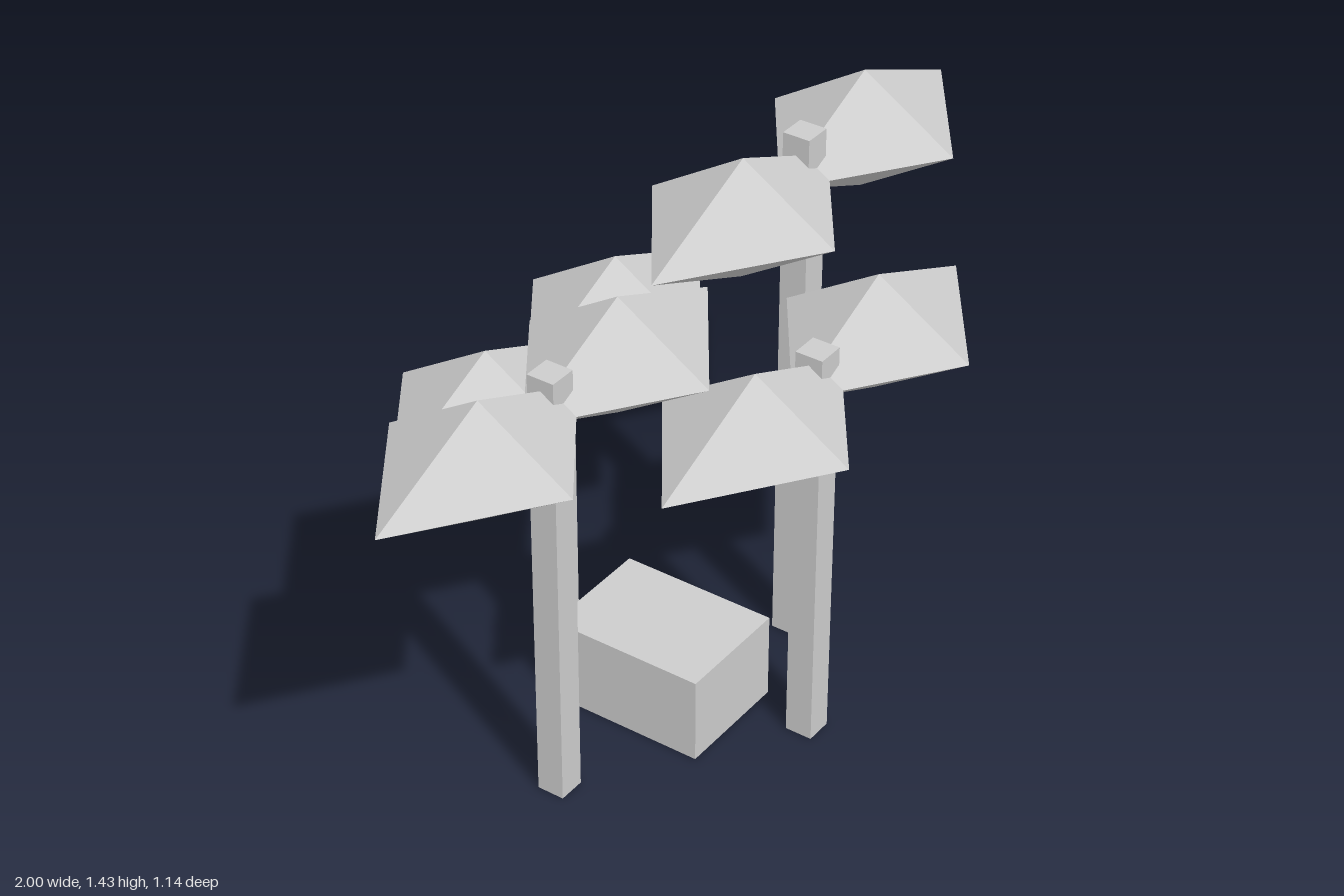
import * as THREE from 'three';

export function createModel() {
  const model = new THREE.Group();
  model.name = 'groveWithBlock';
  const grey = new THREE.MeshStandardMaterial({ color: 0xcccccc });
  grey.name = 'light grey';

  const add = (parent, name, geometry, x, y, z) => {
    const mesh = new THREE.Mesh(geometry, grey);
    mesh.name = name;
    mesh.position.set(x, y, z);
    parent.add(mesh);
  };

  // Faceted diamond canopy, shared by every tree
  const canopy = new THREE.OctahedronGeometry(1, 0).scale(0.344, 0.151, 0.243);

  // Each tree: x, z and canopy height; the post rises slightly above the canopies
  const trees = [
    [0.408, 0.082, 1.284],
    [-0.41, -0.021, 1.059],
    [0, -0.328, 0.847],
    [0.099, 0.328, 0.983],
  ];
  for (const [x, z, h] of trees) {
    const tree = new THREE.Group();
    tree.name = 'tree';
    tree.position.set(x, 0, z);
    const postHeight = h * 1.083;
    add(tree, 'post', new THREE.BoxGeometry(0.07, postHeight, 0.07), 0, postHeight / 2, 0);
    for (const side of [-1, 1]) {
      add(tree, side > 0 ? 'leftCanopy' : 'rightCanopy', canopy, side * 0.246, h, 0);
    }
    model.add(tree);
  }

  // Low block standing between the posts
  add(model, 'block', new THREE.BoxGeometry(0.305, 0.225, 0.408), -0.001, 0.1125, -0.021);

  return model;
}
